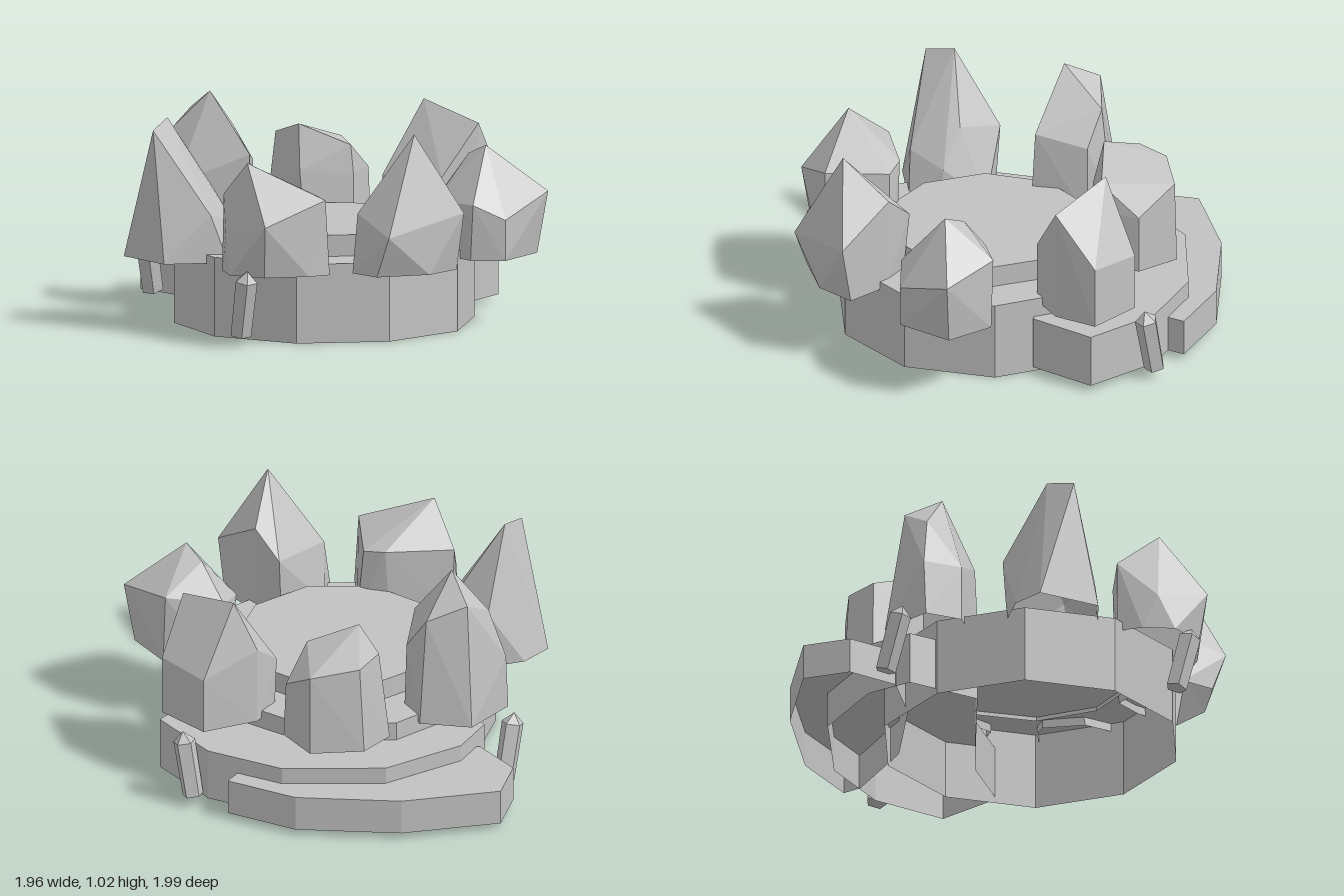
import * as THREE from 'three';
import { ConvexGeometry } from 'three/addons/geometries/ConvexGeometry.js';

const stone = new THREE.MeshStandardMaterial({ color: 0xc2c2c2, side: THREE.DoubleSide, flatShading: true });
stone.name = 'grey stone';

// Removes the flat underside, leaving a hollow shell
function openBelow(geo, floor) {
  const p = geo.attributes.position, kept = [];
  for (let i = 0; i < p.count; i += 3) {
    const top = Math.max(p.getY(i), p.getY(i + 1), p.getY(i + 2));
    if (top < floor + 0.001) continue;
    for (let k = i; k < i + 3; k++) kept.push(p.getX(k), p.getY(k), p.getZ(k));
  }
  const shell = new THREE.BufferGeometry();
  shell.setAttribute('position', new THREE.Float32BufferAttribute(kept, 3));
  shell.computeVertexNormals();
  return shell;
}

// Flat-topped block raised from an [x, z] outline
function block(name, outline, y0, y1) {
  const shape = new THREE.Shape(outline.map(([x, z]) => new THREE.Vector2(x, -z)));
  const geo = new THREE.ExtrudeGeometry(shape, { depth: y1 - y0, bevelEnabled: false });
  geo.rotateX(-Math.PI / 2);
  const m = new THREE.Mesh(openBelow(geo, 0), stone);
  m.name = name;
  m.position.y = y0;
  return m;
}

// Ten-sided outline, first corner turned from +z
function decagon(x, z, r, turn) {
  return Array.from({ length: 10 }, (_, i) => {
    const a = THREE.MathUtils.degToRad(turn + i * 36);
    return [x + r * Math.sin(a), z + r * Math.cos(a)];
  });
}

// Faceted boulder: flat foot outline [x, z] plus shoulder and peak points [x, y, z]
function boulder(name, foot, upper) {
  const pts = foot.map(([x, z]) => new THREE.Vector3(x, 0.33, z));
  upper.forEach((p) => pts.push(new THREE.Vector3(...p)));
  const m = new THREE.Mesh(openBelow(new ConvexGeometry(pts), 0.33), stone);
  m.name = name;
  return m;
}

// Small leaning post with a pointed tip
function post(name, foot, head) {
  const a = new THREE.Vector3(...foot), b = new THREE.Vector3(...head);
  const len = a.distanceTo(b);
  const g = new THREE.Group();
  g.name = name;
  const shaft = new THREE.Mesh(new THREE.CylinderGeometry(0.053, 0.05, len, 5), stone);
  shaft.name = name + 'Shaft';
  shaft.position.y = len / 2;
  const tip = new THREE.Mesh(new THREE.ConeGeometry(0.053, 0.05, 5, 1, true), stone);
  tip.name = name + 'Tip';
  tip.position.y = len + 0.025;
  g.add(shaft, tip);
  g.position.copy(a);
  g.quaternion.setFromUnitVectors(new THREE.Vector3(0, 1, 0), b.sub(a).normalize());
  return g;
}

export function createModel() {
  const model = new THREE.Group();
  model.name = 'stoneCircle';

  // Stacked platform
  model.add(
    block('base', decagon(-0.038, 0.097, 0.7, 19.5), 0, 0.37),
    block('topTier', decagon(-0.02, 0.09, 0.485, 17.5), 0.35, 0.47),
  );

  // Curved steps at the back
  model.add(
    block('upperStep', [[-0.57, -0.62], [-0.22, -0.83], [0.26, -0.83], [0.6, -0.66], [0.82, -0.36],
      [0.62, -0.1], [0.29, -0.18], [-0.48, -0.12], [-0.68, -0.42]], 0.03, 0.28),
    block('lowerStep', [[0.51, -0.8], [0.2, -0.96], [-0.29, -1], [-0.75, -0.91], [-0.81, -0.69],
      [-0.66, -0.49], [-0.35, -0.45], [0.1, -0.52], [0.46, -0.72]], 0.03, 0.2),
  );

  // Ring of seven boulders
  model.add(
    boulder('frontLeftBoulder',
      [[0.02, 0.8], [0.12, 0.93], [0.37, 0.88], [0.51, 0.74], [0.37, 0.57], [0.25, 0.49], [0.05, 0.66]],
      [[0.31, 0.97, 0.77], [0.17, 0.52, 0.99], [0.54, 0.6, 0.78], [0.26, 0.65, 0.46],
        [0.37, 0.77, 0.56], [0.05, 0.6, 0.74]]),
    boulder('frontRightBoulder',
      [[-0.57, 0.65], [-0.55, 0.8], [-0.4, 0.9], [-0.19, 0.88], [-0.09, 0.84], [-0.1, 0.54], [-0.25, 0.5], [-0.54, 0.53]],
      [[-0.46, 0.84, 0.72], [-0.11, 0.68, 0.84], [-0.13, 0.66, 0.54], [-0.23, 0.68, 0.49],
        [-0.55, 0.67, 0.53], [-0.4, 0.57, 0.94], [-0.56, 0.5, 0.72]]),
    boulder('rightBoulder',
      [[-0.98, 0.2], [-0.82, 0.46], [-0.52, 0.44], [-0.47, 0.3], [-0.52, 0.08], [-0.7, 0.03], [-0.87, 0.08]],
      [[-0.78, 0.98, 0.22], [-0.86, 0.94, 0.35], [-0.58, 0.67, 0.2], [-0.48, 0.5, 0.28],
        [-0.7, 0.62, 0.01], [-0.6, 0.55, 0.43]]),
    boulder('backRightBoulder',
      [[-0.79, -0.34], [-0.62, -0.54], [-0.38, -0.5], [-0.31, -0.38], [-0.37, -0.12], [-0.71, -0.18]],
      [[-0.53, 1.02, -0.28], [-0.41, 0.84, -0.45], [-0.6, 0.92, -0.45], [-0.7, 0.84, -0.34],
        [-0.36, 0.74, -0.14], [-0.32, 0.68, -0.38], [-0.7, 0.6, -0.18], [-0.78, 0.6, -0.35]]),
    boulder('backBoulder',
      [[-0.24, -0.62], [-0.12, -0.76], [0.13, -0.78], [0.25, -0.6], [0.15, -0.39], [-0.08, -0.37]],
      [[-0.1, 0.83, -0.45], [0.14, 0.73, -0.43], [-0.19, 0.77, -0.62], [-0.1, 0.75, -0.74],
        [0.13, 0.72, -0.77], [0.15, 0.6, -0.41], [-0.1, 0.62, -0.4], [0.24, 0.6, -0.6]]),
    boulder('backLeftBoulder',
      [[0.37, -0.47], [0.62, -0.57], [0.81, -0.38], [0.7, -0.2], [0.53, -0.12], [0.29, -0.36]],
      [[0.48, 0.94, -0.44], [0.71, 0.86, -0.2], [0.53, 0.62, -0.12], [0.81, 0.62, -0.38],
        [0.62, 0.6, -0.57], [0.28, 0.6, -0.36], [0.37, 0.7, -0.46]]),
    boulder('leftBoulder',
      [[0.5, 0.12], [0.56, 0.09], [0.8, 0.1], [0.93, 0.3], [0.76, 0.52], [0.6, 0.5], [0.48, 0.32]],
      [[0.69, 0.84, 0.31], [0.62, 0.79, 0.22], [0.98, 0.62, 0.31], [0.79, 0.67, 0.09],
        [0.61, 0.59, 0.51], [0.46, 0.58, 0.28], [0.52, 0.62, 0.12], [0.76, 0.52, 0.52]]),
  );

  // Leaning posts outside the platform
  model.add(
    post('frontPost', [-0.5, 0.05, 0.8], [-0.48, 0.31, 0.86]),
    post('rightPost', [-0.77, 0.05, -0.53], [-0.81, 0.31, -0.46]),
    post('backLeftPost', [0.67, 0.05, -0.66], [0.71, 0.31, -0.62]),
  );
  return model;
}
